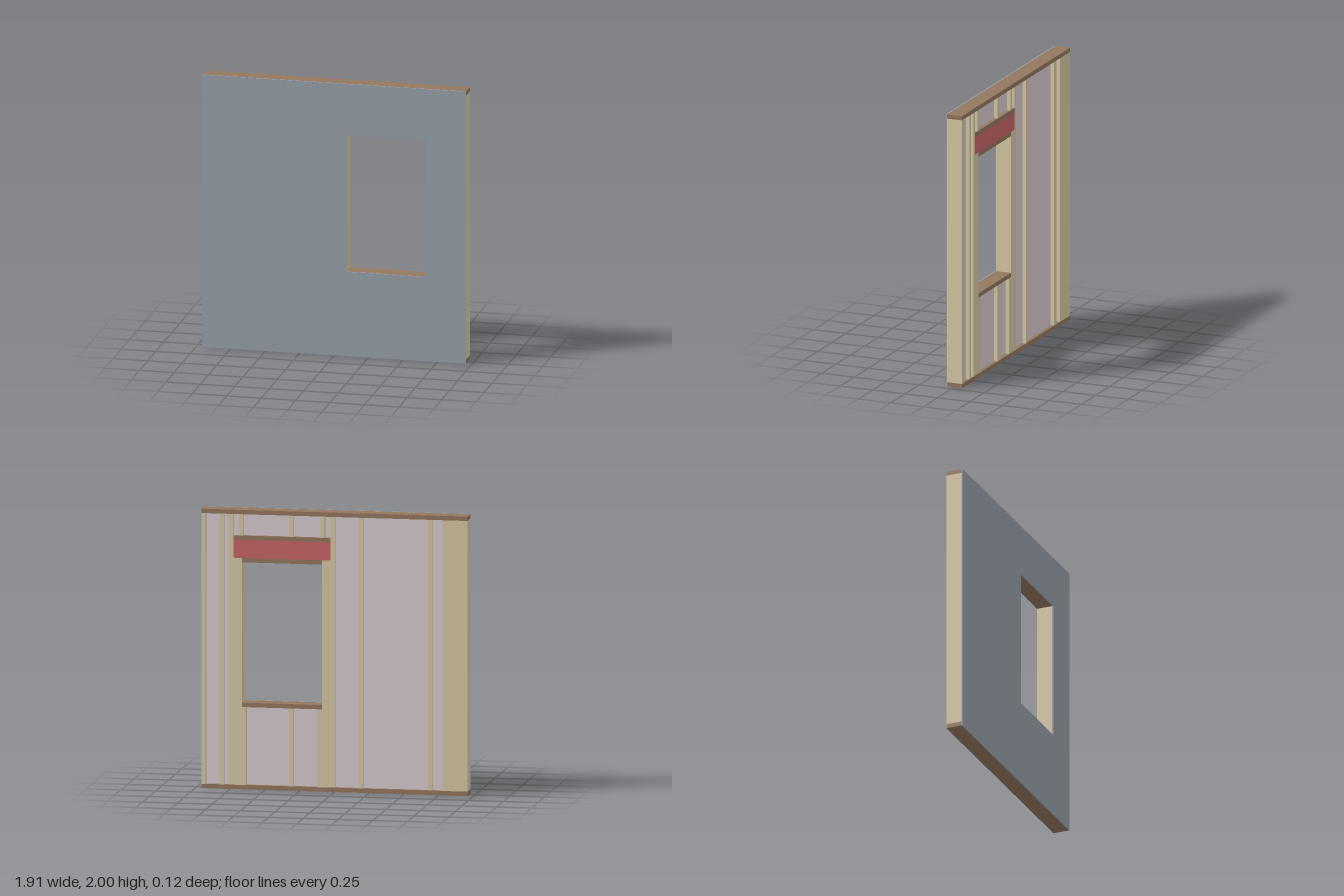
import * as THREE from 'three';

const T = 0.031;                      // lumber thickness
const W = 0.957, H = 2;               // half width and height of the wall
const BACK = -0.062, FRONT = 0.053, FACE = 0.062;
const L = 0.09, R = 0.665, SILL = 0.62, HEAD = 1.625;   // window opening
const HEADER_TOP = 1.785;

export function createModel() {
  const wall = new THREE.Group();
  wall.name = 'framedWall';

  const mat = (color) => new THREE.MeshStandardMaterial({ color });
  const stud = mat(0xd8c9a4), plate = mat(0x94785f), red = mat(0xc96668);
  const batt = mat(0xdaccd0), sheet = mat(0x98a0ab);

  const add = (name, geometry, material) => {
    const mesh = new THREE.Mesh(geometry, material);
    mesh.name = name;
    wall.add(mesh);
    return mesh;
  };
  // Box given by its limits
  const box = (name, material, x0, x1, y0, y1, z0 = BACK, z1 = FRONT) =>
    add(name, new THREE.BoxGeometry(x1 - x0, y1 - y0, z1 - z0), material)
      .position.set((x0 + x1) / 2, (y0 + y1) / 2, (z0 + z1) / 2);
  // Flat panel from an outline, with an optional hole
  const panel = (name, material, outline, z0, z1, hole) => {
    const vec = (pts) => pts.map(([x, y]) => new THREE.Vector2(x, y));
    const shape = new THREE.Shape(vec(outline));
    if (hole) shape.holes.push(new THREE.Path(vec(hole)));
    const geo = new THREE.ExtrudeGeometry(shape, { depth: z1 - z0, bevelEnabled: false });
    add(name, geo.translate(0, 0, z0), material);
  };
  const rect = (x0, x1, y0, y1) => [[x0, y0], [x1, y0], [x1, y1], [x0, y1]];

  // Bottom and top plates
  box('bottomPlate', plate, -W, W, 0, T);
  box('topPlate', plate, -W, W, H - T, H);

  // Full-height studs: left end, regular spacing
  box('endStud', stud, W - T, W, T, H - T);
  for (const x of [0.81, -0.19, -0.69]) box('commonStud', stud, x - T / 2, x + T / 2, T, H - T);

  // Corner post at the right end: two studs with a flat one between
  const post = -W + 0.18;
  box('cornerStudOuter', stud, -W, -W + T, T, H - T);
  box('cornerStudFlat', stud, -W + T, post - T, T, H - T, BACK, BACK + T);
  box('cornerStudInner', stud, post - T, post, T, H - T);

  // Two jack studs, a king stud and a sill cripple on each side of the opening
  for (const [edge, dir] of [[L, -1], [R, 1]]) {
    const member = (name, n, y0, y1) => {
      const a = edge + dir * n * T, b = a + dir * T;
      box(name, stud, Math.min(a, b), Math.max(a, b), y0, y1);
    };
    member('sillCrippleStud', -1, T, SILL - T);
    member('jackStud', 0, T, HEAD + T);
    member('jackStud', 1, T, HEAD + T);
    member('kingStud', 2, T, H - T);
  }

  // Sill, header and header plates
  box('windowSill', plate, L, R, SILL - T, SILL);
  box('headerBottomPlate', plate, L, R, HEAD, HEAD + T);
  box('header', red, L - 2 * T, R + 2 * T, HEAD + T, HEADER_TOP);
  box('headerTopPlate', plate, L - 2 * T, R + 2 * T, HEADER_TOP, HEADER_TOP + T);

  // Short studs above the header and below the sill
  for (const x of [0.086, 0.31, 0.669])
    box('headerCrippleStud', stud, x - T / 2, x + T / 2, HEADER_TOP + T, H - T);
  box('sillMiddleStud', stud, 0.31 - T / 2, 0.31 + T / 2, T, SILL - T);

  // Insulation, set in from the back and buried in the framing at its edges
  panel('insulation', batt, rect(-W + 0.015, W - 0.015, 0.015, H - 0.015), BACK + 0.027, FRONT,
    rect(L - 0.03, R + 0.03, SILL - 0.015, HEAD + 0.015));

  // Front sheathing in two sheets with a hairline seam
  const s0 = 0.66, s1 = 0.662;
  panel('sheathingRight', sheet, [[-W, 0], [s0, 0], [s0, SILL], [L, SILL], [L, HEAD],
    [s0, HEAD], [s0, H], [-W, H]], FRONT, FACE);
  panel('sheathingLeft', sheet, [[s1, 0], [W, 0], [W, H], [s1, H], [s1, HEAD],
    [R, HEAD], [R, SILL], [s1, SILL]], FRONT, FACE);

  return wall;
}
